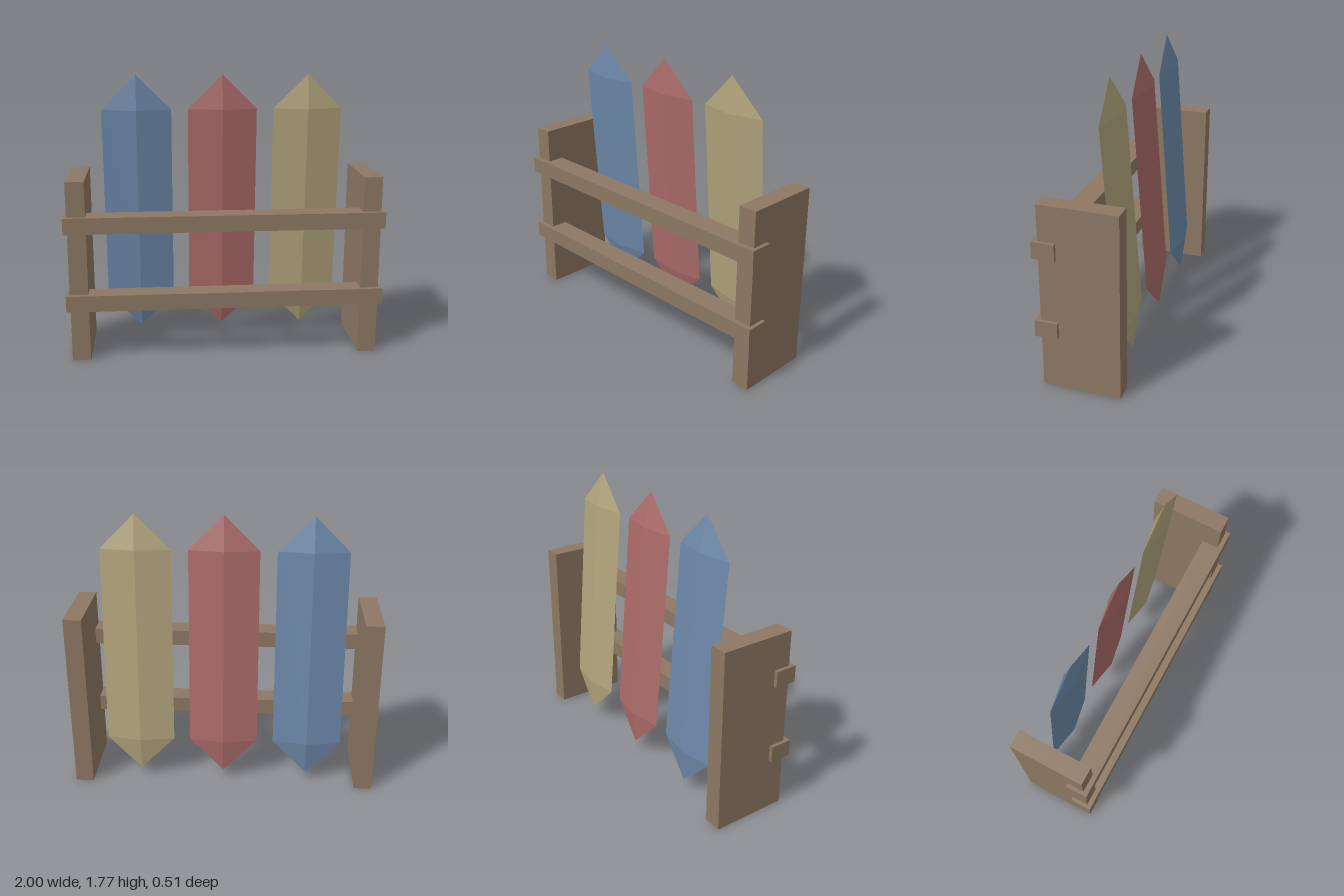
import * as THREE from 'three';

const material = (name, color) => {
  const m = new THREE.MeshStandardMaterial({ color });
  m.name = name;
  m.flatShading = true;
  return m;
};

export function createModel() {
  const group = new THREE.Group();
  const wood = material('wood', 0x8d7863);

  const addBox = (name, [w, h, d], [x, y, z]) => {
    const mesh = new THREE.Mesh(new THREE.BoxGeometry(w, h, d), wood);
    mesh.name = name;
    mesh.position.set(x, y, z);
    group.add(mesh);
  };

  // Upright side boards
  addBox('leftSideBoard', [0.115, 1.16, 0.479], [0.92, 0.58, -0.0155]);
  addBox('rightSideBoard', [0.115, 1.16, 0.479], [-0.92, 0.58, -0.0155]);

  // Front rails, let into the side boards
  addBox('lowerRail', [2, 0.103, 0.139], [0, 0.388, 0.1855]);
  addBox('upperRail', [2, 0.103, 0.139], [0, 0.889, 0.1855]);

  // Four-sided pointed slabs, flattened and leaning forward
  const profile = [[0, -0.855], [1, -0.636], [1, 0.636], [0, 0.855]]
    .map(([r, y]) => new THREE.Vector2(r, y));
  const slab = new THREE.LatheGeometry(profile, 4).scale(0.219, 1, 0.04);
  const slabs = [
    ['rightSlab', -0.543, material('blue', 0x6c88a9)],
    ['middleSlab', 0, material('red', 0xab6b68)],
    ['leftSlab', 0.543, material('yellow', 0xb1a37b)],
  ];
  for (const [name, x, mat] of slabs) {
    const mesh = new THREE.Mesh(slab, mat);
    mesh.name = name;
    mesh.position.set(x, 0.922, -0.115);
    mesh.rotation.x = 0.079;
    group.add(mesh);
  }
  return group;
}
